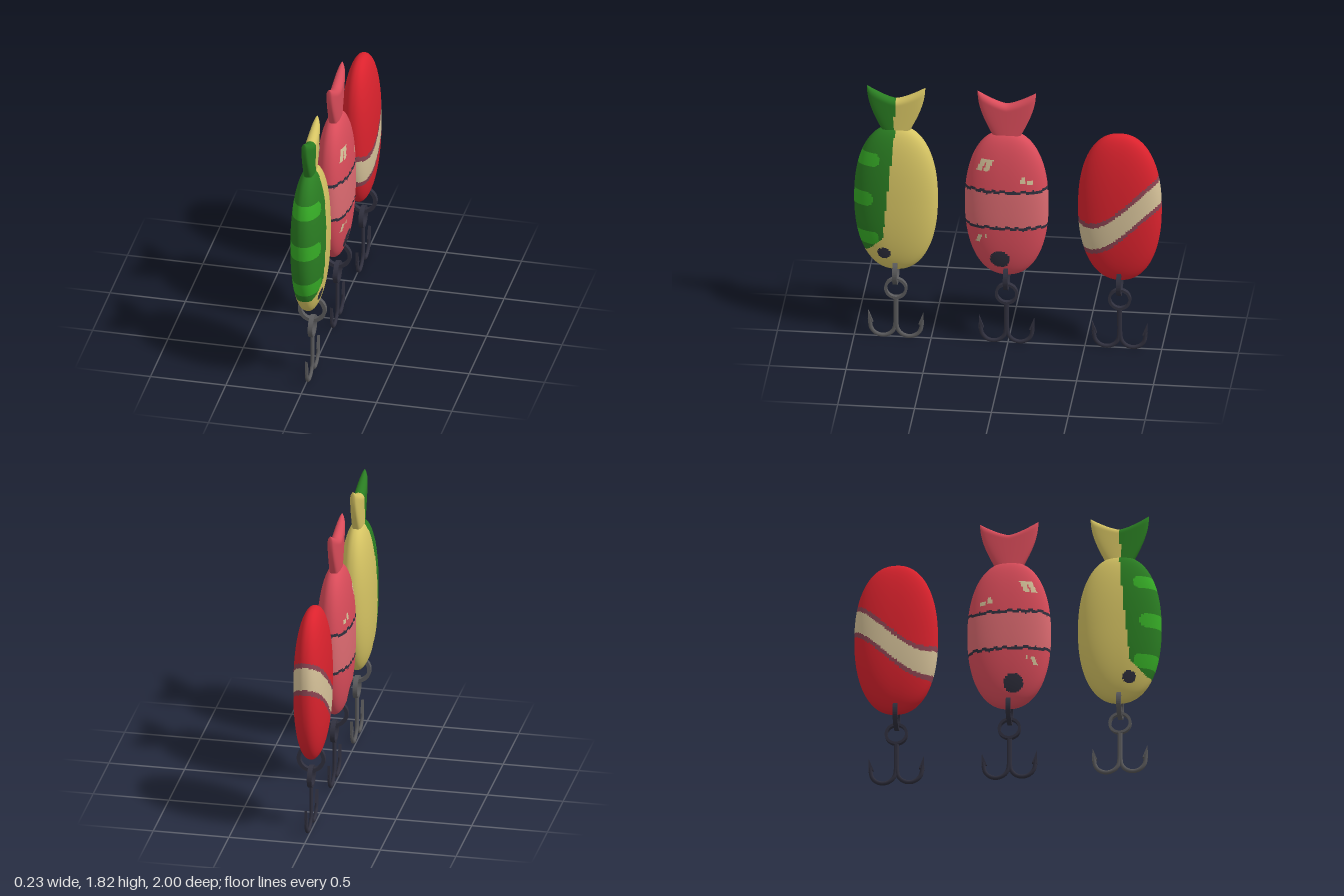
import * as THREE from 'three';

const mat = (name, color) => {
  const m = new THREE.MeshStandardMaterial({ color });
  m.name = name;
  return m;
};
const M = {
  darkGreen: mat('dark green', 0x2a7d22),
  lightGreen: mat('light green', 0x36ac26),
  yellow: mat('yellow', 0xd6c463),
  rose: mat('rose', 0xda4c5a),
  pink: mat('pink', 0xdc6a70),
  navy: mat('dark navy', 0x30303e),
  cream: mat('cream', 0xd6c299),
  red: mat('red', 0xdb222d),
  mauve: mat('mauve', 0x8c4452),
  grey: mat('steel grey', 0x5a5a5c),
};

const spow = (v, p) => Math.sign(v) * Math.abs(v) ** p;

// Closed skin of rings from top to bottom; paint(u, y) picks the material of each cell.
function paintedSkin(name, rows, cols, point, paint) {
  const pos = [];
  const faces = new Map();
  for (let i = 0; i <= rows; i++)
    for (let j = 0; j < cols; j++) pos.push(...point(i / rows, (j / cols) * Math.PI * 2));
  for (let i = 0; i < rows; i++) {
    for (let j = 0; j < cols; j++) {
      const k = (j + 1) % cols;
      const [a, b, c, d] = [i * cols + j, (i + 1) * cols + j, (i + 1) * cols + k, i * cols + k];
      const mean = (o) => (pos[a * 3 + o] + pos[b * 3 + o] + pos[c * 3 + o] + pos[d * 3 + o]) / 4;
      const m = paint(mean(2), mean(1));
      if (!faces.has(m)) faces.set(m, []);
      faces.get(m).push(a, d, c, a, c, b);
    }
  }
  const geo = new THREE.BufferGeometry();
  geo.setAttribute('position', new THREE.Float32BufferAttribute(pos, 3));
  const index = [];
  const mats = [];
  for (const [m, list] of faces) {
    geo.addGroup(index.length, list.length, mats.length);
    mats.push(m);
    for (const n of list) index.push(n);
  }
  geo.setIndex(index);
  geo.computeVertexNormals();
  const mesh = new THREE.Mesh(geo, mats);
  mesh.name = name;
  return mesh;
}

// Flattened oval body
function makeBody(top, paint) {
  const mid = (top + 0.5) / 2, half = (top - 0.5) / 2;
  return paintedSkin('body', 160, 130, (v, a) => {
    const t = Math.cos(v * Math.PI);
    const s = Math.max(0, 1 - Math.abs(t) ** 2.25) ** (1 / 2.25);
    return [0.114 * s * spow(Math.cos(a), 0.88), mid + half * t, 0.272 * s * spow(Math.sin(a), 0.88)];
  }, paint);
}

// Forked tail fin
function makeTail(paint) {
  return paintedSkin('tail', 28, 64, (r, a) => {
    const v = 1 - r * r;
    const s = Math.sin(a);
    const top = 1.735 + 0.087 * Math.abs(s) ** 1.4;
    const cap = Math.sqrt(Math.max(0, 1 - Math.max(0, (v - 0.85) / 0.15) ** 2));
    const width = 0.075 + 0.115 * Math.sin((v * Math.PI) / 2);
    return [0.037 * cap * spow(Math.cos(a), 0.6), 1.48 + v * (top - 1.48), width * s];
  }, paint);
}

// Flat ring with a rectangular section
function makeRing(name, outer, inner, material) {
  const shape = new THREE.Shape().absarc(0, 0, outer, 0, Math.PI * 2);
  shape.holes.push(new THREE.Path().absarc(0, 0, inner, 0, Math.PI * 2, true));
  const geo = new THREE.ExtrudeGeometry(shape, { depth: 0.03, bevelEnabled: false, curveSegments: 24 });
  geo.translate(0, 0, -0.015);
  const mesh = new THREE.Mesh(geo, material);
  mesh.name = name;
  return mesh;
}

// Split ring, hook ring and double barbed hook
function makeTackle(material) {
  const g = new THREE.Group();
  g.name = 'tackle';
  g.position.x = 0.012;
  const split = makeRing('splitRing', 0.094, 0.07, material);
  split.position.y = 0.49;
  const eye = makeRing('hookRing', 0.075, 0.058, material);
  eye.position.y = 0.362;
  eye.rotation.y = Math.PI / 2;
  g.add(split, eye);

  for (const side of [1, -1]) {
    const pts = [[0.003, 0.295], [0.003, 0.2], [0.004, 0.11]];
    for (let i = 1; i <= 8; i++) {
      const a = Math.PI + (i / 8) * Math.PI;
      pts.push([0.086 + 0.081 * Math.cos(a), 0.098 + 0.082 * Math.sin(a)]);
    }
    pts.push([0.17, 0.13]);
    const curve = new THREE.CatmullRomCurve3(pts.map(([z, y]) => new THREE.Vector3(0, y, z * side)));
    const geo = new THREE.TubeGeometry(curve, 48, 0.0135, 10);
    geo.scale(0.85, 1, 1);
    const bend = new THREE.Mesh(geo, material);
    bend.name = 'hookBend';

    // Pointed barb
    const barb = new THREE.Shape([[0.181, 0.098], [0.179, 0.192], [0.147, 0.108], [0.16, 0.108]]
      .map(([z, y]) => new THREE.Vector2(-z * side, y)));
    const barbGeo = new THREE.ExtrudeGeometry(barb, { depth: 0.018, bevelEnabled: false });
    barbGeo.translate(0, 0, -0.009);
    barbGeo.rotateY(Math.PI / 2);
    const tip = new THREE.Mesh(barbGeo, material);
    tip.name = 'hookBarb';
    g.add(bend, tip);
  }
  return g;
}

const inDisc = (u, y, cu, cy, r) => Math.hypot(u - cu, y - cy) < r;

// Green back with light bars, yellow belly, small eye
function paintGreen(u, y) {
  if (inDisc(u, y, 0.07, 0.647, 0.043)) return M.navy;
  const onBack = u > (1.53 - y) * 0.1 && y > Math.max(0.65, 0.835 - u);
  if (!onBack) return M.yellow;
  for (const [cy, end] of [[1.322, 0.1], [1.04, 0.14], [0.757, 0.1]]) {
    const du = Math.max(0, end + 0.035 - u);
    if (Math.hypot(du * 1.3, y - cy) < 0.047) return M.lightGreen;
  }
  return M.darkGreen;
}

// Rose with a paler middle, wavy lines, flecks and a large eye
const flecks = [ // centre u, centre y, half width, half height, slant
  [0.155, 1.327, 0.017, 0.04, 0.45], [0.11, 1.327, 0.017, 0.04, 0.45], [0.125, 1.355, 0.03, 0.01, 0],
  [-0.117, 1.232, 0.015, 0.022, 0], [-0.16, 1.215, 0.019, 0.018, 0],
  [0.172, 0.793, 0.013, 0.028, 0.3], [0.125, 0.82, 0.009, 0.014, 0],
];
function paintRose(u, y) {
  if (inDisc(u, y, 0.035, 0.645, 0.064)) return M.navy;
  const wave = 0.005 * Math.sin(u * 95) + 0.003 * Math.sin(u * 41);
  if (Math.abs(y - 1.144 - wave) < 0.0105 || Math.abs(y - 0.882 + wave) < 0.0105) return M.navy;
  for (const [cu, cy, w, h, k] of flecks)
    if (Math.abs(y - cy) < h && Math.abs(u - cu + k * (y - cy)) < w) return M.cream;
  return y > 0.882 && y < 1.144 ? M.pink : M.rose;
}

// Red with a slanting cream band edged in mauve
function paintRed(u, y) {
  const d = Math.abs(y - (0.93 - 0.89 * u + u * u + 4 * u ** 3));
  return d < 0.08 ? M.cream : d < 0.115 ? M.mauve : M.red;
}

export function createModel() {
  const model = new THREE.Group();
  model.name = 'fishingLures';
  const lures = [
    { name: 'greenLure', z: 0.728, top: 1.54, paint: paintGreen, metal: M.grey,
      tail: (u) => (u > 0.008 ? M.darkGreen : M.yellow) },
    { name: 'roseLure', z: 0.008, top: 1.54, paint: paintRose, metal: M.navy, tail: () => M.rose },
    { name: 'redLure', z: -0.728, top: 1.555, paint: paintRed, metal: M.navy },
  ];
  for (const l of lures) {
    const g = new THREE.Group();
    g.name = l.name;
    g.position.z = l.z;
    g.add(makeBody(l.top, l.paint), makeTackle(l.metal));
    if (l.tail) g.add(makeTail(l.tail));
    model.add(g);
  }
  return model;
}
